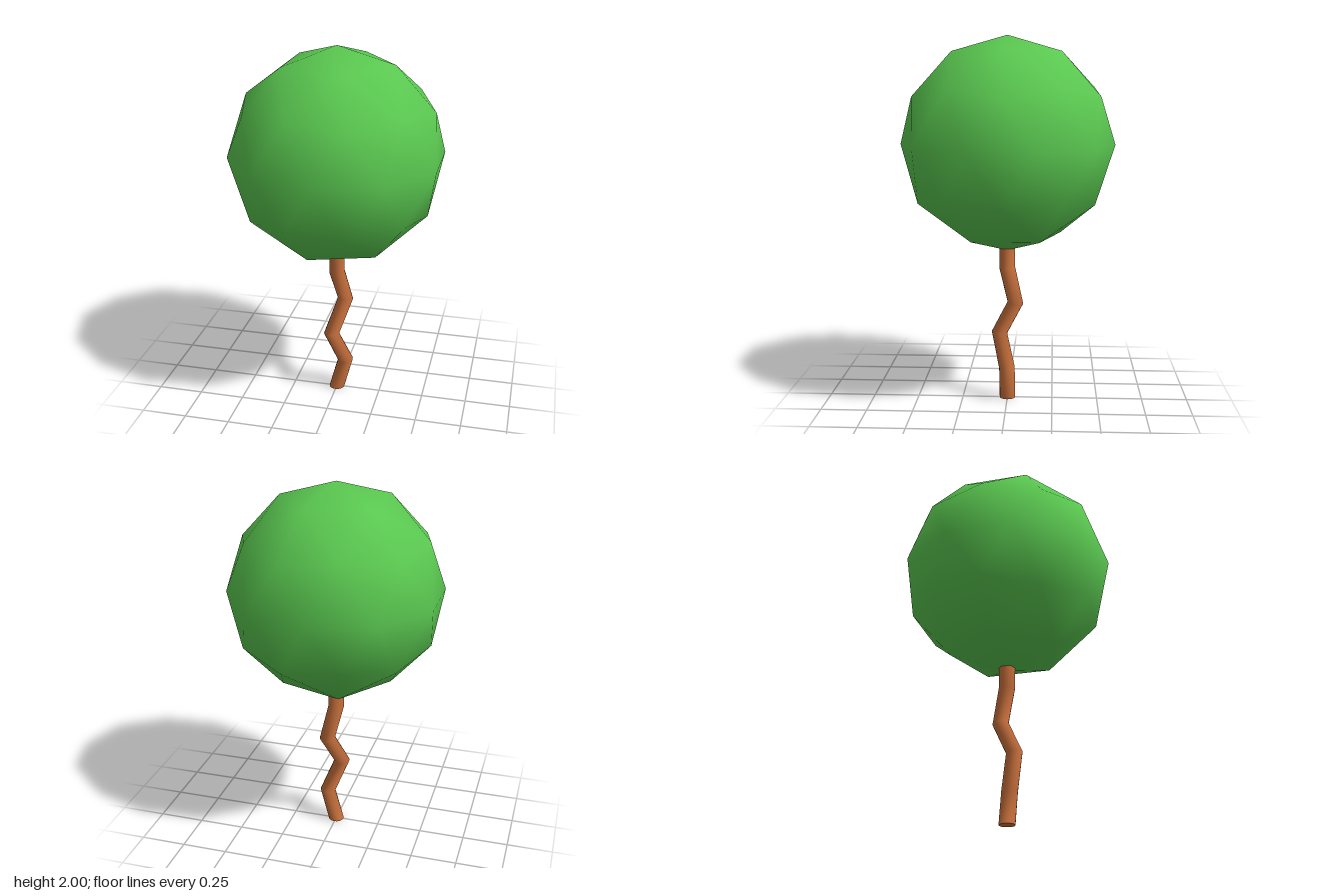
import * as THREE from 'three';
import { mergeVertices } from 'three/addons/utils/BufferGeometryUtils.js';

// Trunk centre line: one point per bend
const TRUNK_PATH = [
  [0, 0, 0],
  [0.05, 0.187, 0],
  [-0.021, 0.37, 0.045],
  [0.039, 0.555, -0.046],
  [0, 0.74, 0],
  [0, 0.925, 0],
];

// Straight cylinder whose rings are slid onto the bends of the path
function bentCylinder(path, radius, sides) {
  const segments = path.length - 1;
  let geometry = new THREE.CylinderGeometry(radius, radius, segments, sides, segments);
  geometry.deleteAttribute('uv');
  geometry = mergeVertices(geometry); // closes the seam, keeps the end rims sharp
  const pos = geometry.attributes.position;
  for (let i = 0; i < pos.count; i++) {
    const ring = Math.round(pos.getY(i) + segments / 2);
    const [x, y, z] = path[ring];
    // Rings at the bends tilt slightly towards the mean direction
    const before = path[Math.max(ring - 1, 0)];
    const after = path[Math.min(ring + 1, segments)];
    const inner = ring > 0 && ring < segments ? 1 : 0;
    const slopeX = inner * (after[0] - before[0]) / (after[1] - before[1]);
    const slopeZ = inner * (after[2] - before[2]) / (after[1] - before[1]);
    const dx = pos.getX(i);
    const dz = pos.getZ(i);
    pos.setXYZ(i, x + dx, y - slopeX * dx - slopeZ * dz, z + dz);
  }
  geometry.computeVertexNormals();
  return geometry;
}

export function createModel() {
  const tree = new THREE.Group();
  tree.name = 'tree';

  // Crown: smooth-shaded low-poly ball with a corner pointing straight up
  const crownGeometry = new THREE.IcosahedronGeometry(0.58, 1);
  crownGeometry.rotateZ(-Math.atan(2 / (1 + Math.sqrt(5))));
  const crown = new THREE.Mesh(crownGeometry, new THREE.MeshStandardMaterial({ color: 0x5ac850 }));
  crown.name = 'crown';
  crown.position.y = 1.42;

  // Trunk: zigzag stem reaching into the crown
  const trunk = new THREE.Mesh(
    bentCylinder(TRUNK_PATH, 0.043, 16),
    new THREE.MeshStandardMaterial({ color: 0xc8703c }),
  );
  trunk.name = 'trunk';

  tree.add(crown, trunk);
  return tree;
}
